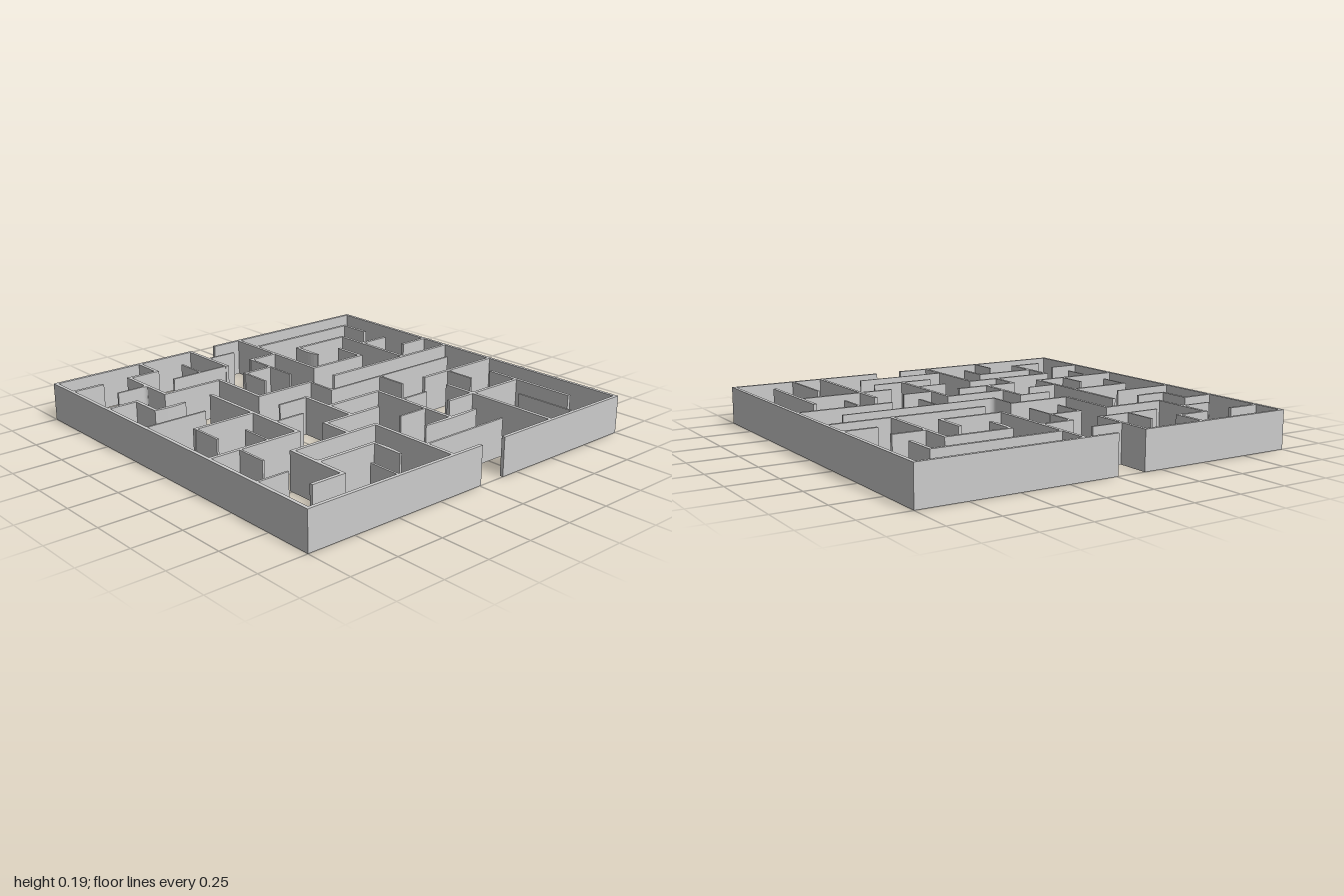
import * as THREE from 'three';

const HEIGHT = 0.194, THICK = 0.018, THIN = 0.011, CELLS = 12;
const EDGE = 1 - THICK / 2;
const at = (i) => -EDGE + (2 * EDGE * i) / CELLS; // grid line -> coordinate

// Walls as [line, from, to] in grid cells; rows run along x, columns along z
const thickRows = [
  [0, 0, 5], [0, 6, 12], [1, 0, 1], [1, 2, 3], [1, 7, 11], [3, 0, 1], [3, 2, 4], [3, 5, 6], [3, 10, 11],
  [4, 7, 9], [4, 11, 12], [5, 4, 6], [5, 7, 12], [6, 1, 3], [7, 5, 7], [7, 9, 12], [8, 0, 3], [8, 4, 6],
  [9, 2, 5], [9, 8, 11], [10, 2, 4], [11, 1, 2], [12, 0, 6], [12, 7, 12], [2, 6, 7], [2, 8, 10],
];
const thinRows = [
  [1, 5, 6], [2, 1, 2], [2, 3, 5], [5, 0, 2], [6, 4, 5], [6, 6, 11], [7, 3, 4],
  [8, 7, 8], [9, 6, 7], [10, 0, 1], [11, 5, 8],
];
const thickColumns = [
  [0, 0, 12], [12, 0, 12], [1, 3, 4], [2, 1, 3], [2, 9, 11], [3, 0, 1], [3, 4, 8], [4, 3, 5], [4, 8, 9],
  [5, 0, 2], [5, 6, 8], [5, 9, 12], [7, 0, 4], [7, 7, 10], [9, 3, 4], [9, 8, 12], [10, 2, 5],
  [11, 1, 2], [11, 8, 11],
];
const thinColumns = [
  [1, 6, 7], [1, 8, 9], [2, 7, 8], [3, 11, 12], [4, 1, 2], [5, 3, 4], [6, 2, 4], [6, 5, 6],
  [8, 6, 7], [10, 7, 8], [10, 10, 12],
];
// Bowed walls as [line, from, to, bulge]
const bowedRows = [[4, 1, 2, 0.01], [10, 6, 8, 0.008]];
const bowedColumns = [[8, 2, 3, -0.012], [4, 10, 11, 0.009]];
// Rounded inner corners as [column, row, x direction, z direction]
const fillets = [[2, 2, -1, -1], [2, 2, -1, 1], [2, 10, 1, -1], [2, 10, 1, 1], [6, 2, 1, 1], [6, 6, 1, -1]];

export function createModel() {
  const maze = new THREE.Group();
  maze.name = 'maze';
  const material = new THREE.MeshStandardMaterial({ color: 0xcccccc, flatShading: true });

  const group = (name) => {
    const g = new THREE.Group();
    g.name = name;
    maze.add(g);
    return g;
  };
  const add = (parent, geometry, name) => {
    const mesh = new THREE.Mesh(geometry, material);
    mesh.name = name;
    parent.add(mesh);
    return mesh;
  };

  // Straight wall, reaching half a thickness past its grid points
  const straight = (parent, [line, from, to], t, alongX) => {
    const length = at(to) - at(from) + t;
    const mid = (at(from) + at(to)) / 2;
    const mesh = add(parent, new THREE.BoxGeometry(alongX ? length : t, HEIGHT, alongX ? t : length), 'wall');
    mesh.position.set(alongX ? mid : at(line), HEIGHT / 2, alongX ? at(line) : mid);
  };

  // Floor-plan outline (x, z) raised to wall height
  const raise = (shape) => {
    const geometry = new THREE.ExtrudeGeometry(shape, { depth: HEIGHT, bevelEnabled: false, curveSegments: 8 });
    return geometry.rotateX(Math.PI / 2).translate(0, HEIGHT, 0);
  };

  // Wall with one flat side and one curved side
  const bowed = (parent, [line, from, to, bulge], alongX) => {
    const p = (u, v) => (alongX ? [u, v] : [v, u]);
    const a = at(from) - THIN / 2, b = at(to) + THIN / 2, c = at(line);
    const h = Math.sign(bulge) * THIN / 2;
    const shape = new THREE.Shape();
    shape.moveTo(...p(a, c - h));
    shape.lineTo(...p(b, c - h));
    shape.lineTo(...p(b, c + h));
    shape.quadraticCurveTo(...p((a + b) / 2, c + h + 2 * bulge), ...p(a, c + h));
    shape.closePath();
    add(parent, raise(shape), 'bowedWall');
  };

  const rows = group('wallsAcross');
  const columns = group('wallsAlong');
  thickRows.forEach((w) => straight(rows, w, THICK, true));
  thinRows.forEach((w) => straight(rows, w, THIN, true));
  bowedRows.forEach((w) => bowed(rows, w, true));
  thickColumns.forEach((w) => straight(columns, w, THICK, false));
  thinColumns.forEach((w) => straight(columns, w, THIN, false));
  bowedColumns.forEach((w) => bowed(columns, w, false));

  const corners = group('roundedCorners');
  fillets.forEach(([i, j, sx, sz]) => {
    const x = at(i), z = at(j), near = 0.005, far = 0.03;
    const shape = new THREE.Shape();
    shape.moveTo(x + sx * near, z + sz * near);
    shape.lineTo(x + sx * far, z + sz * near);
    shape.quadraticCurveTo(x + sx * near * 1.6, z + sz * near * 1.6, x + sx * near, z + sz * far);
    shape.closePath();
    add(corners, raise(shape), 'cornerFillet');
  });

  return maze;
}
